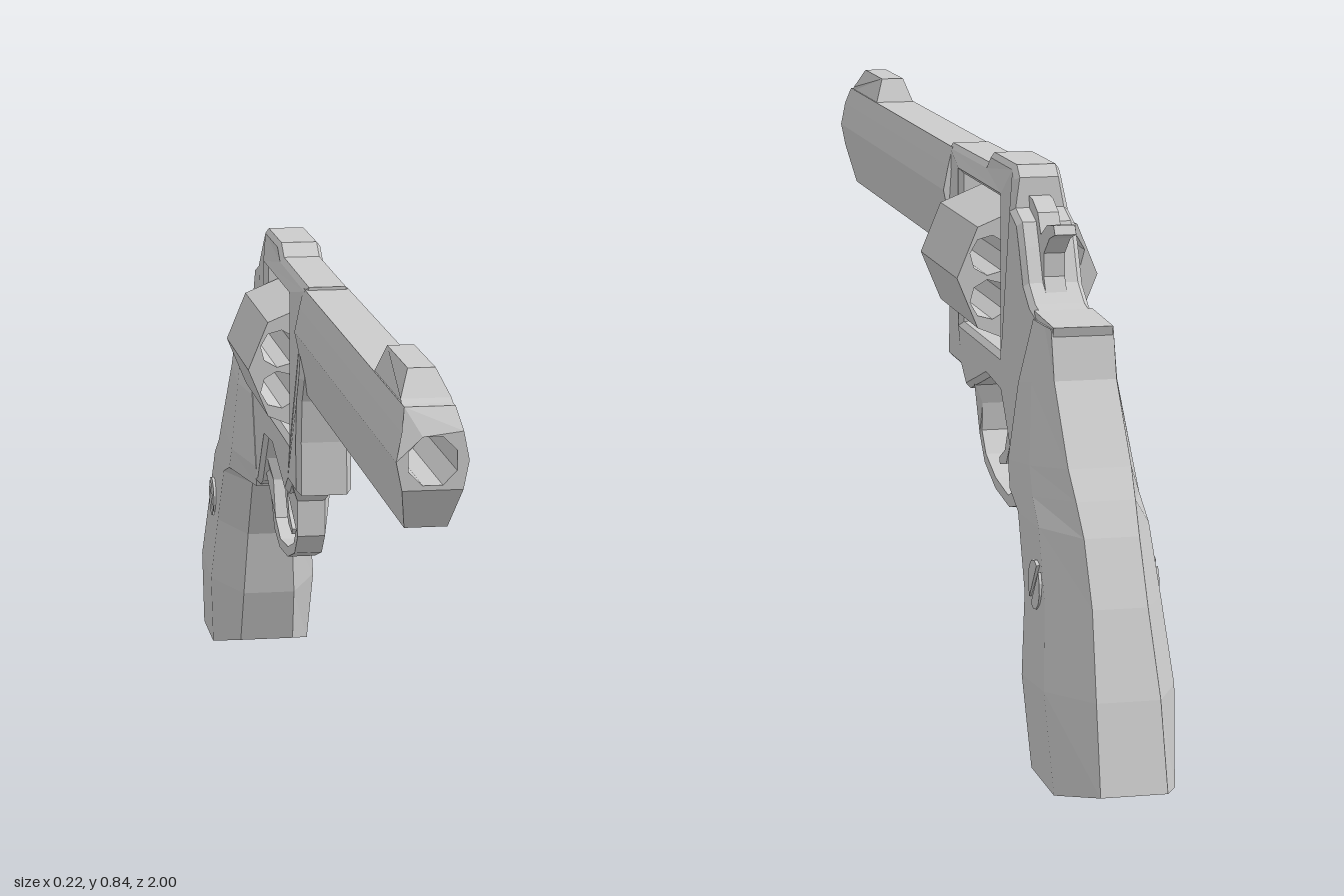
import * as THREE from 'three';

const mat = new THREE.MeshStandardMaterial({ color: 0xcccccc, flatShading: true });

function add(parent, name, geo) {
  const mesh = new THREE.Mesh(geo, mat);
  mesh.name = name;
  parent.add(mesh);
  return mesh;
}

const points = (list) => list.map(([a, b]) => new THREE.Vector2(a, b));

const ring = (cx, cy, r, n, start = 0) => Array.from({ length: n }, (_, i) => {
  const a = start + (i / n) * Math.PI * 2;
  return [cx + r * Math.cos(a), cy + r * Math.sin(a)];
});

function shapeOf(outline, holes = []) {
  const shape = new THREE.Shape(points(outline));
  shape.holes = holes.map((h) => new THREE.Path(points(h)));
  return shape;
}

// Side profile given as [z, y], extruded to a half width across x
function sideSlab(outline, half, { holes = [], bevel = 0 } = {}) {
  const geo = new THREE.ExtrudeGeometry(shapeOf(outline, holes), {
    depth: 2 * (half - bevel), bevelEnabled: bevel > 0, bevelSegments: 1,
    bevelSize: bevel, bevelThickness: bevel, bevelOffset: -bevel,
  });
  return geo.translate(0, 0, bevel - half).rotateY(-Math.PI / 2);
}

function moveVertices(geo, rule) {
  const p = geo.attributes.position, v = new THREE.Vector3();
  for (let i = 0; i < p.count; i++) {
    rule(v.fromBufferAttribute(p, i));
    p.setXYZ(i, v.x, v.y, v.z);
  }
  geo.computeVertexNormals();
  return geo;
}

// Grip lofted from sections: front [z, y], back [z, y], half width, edge half width, sag
function gripGeometry(sections) {
  const pos = [], index = [], n = 8;
  for (const [f, b, half, edge, sag] of sections) {
    const side = [[edge, 0], [half, 0.27], [half, 0.68], [edge, 1]];
    const loop = [...side, ...side.map(([x, t]) => [-x, t]).reverse()];
    for (const [x, t] of loop) {
      const drop = t > 0 && t < 1 ? sag : 0;
      pos.push(x, f[1] + (b[1] - f[1]) * t - drop, f[0] + (b[0] - f[0]) * t);
    }
  }
  const last = (sections.length - 1) * n;
  for (let i = 0; i < last; i += n) {
    for (let j = 0; j < n; j++) {
      const k = (j + 1) % n;
      index.push(i + j, i + n + j, i + n + k, i + j, i + n + k, i + k);
    }
  }
  for (let k = 1; k < n - 1; k++) {
    index.push(0, k, k + 1, last, last + k + 1, last + k);
  }
  const geo = new THREE.BufferGeometry();
  geo.setAttribute('position', new THREE.Float32BufferAttribute(pos, 3));
  geo.setIndex(index);
  geo.computeVertexNormals();
  return geo;
}

export function createModel() {
  const model = new THREE.Group();
  model.name = 'revolver';

  // Barrel with under lug, open bore and a muzzle slanted back below the bore
  const half = [[0.03, 0.632], [0.042, 0.695], [0.05, 0.735], [0.042, 0.775], [0.035, 0.805]];
  const section = [...half, ...half.map(([x, y]) => [-x, y]).reverse()];
  const barrel = new THREE.ExtrudeGeometry(shapeOf(section, [ring(0, 0.735, 0.036, 8, Math.PI / 8)]),
    { depth: 0.95, bevelEnabled: false }).translate(0, 0, 0.05);
  add(model, 'barrel', moveVertices(barrel, (v) => {
    if (v.z > 0.5) v.z -= Math.max(0, 0.695 - v.y) * 0.8 + Math.max(0, v.y - 0.78);
  }));

  // Front sight, narrowing to its top
  const sight = sideSlab([[0.965, 0.8], [0.945, 0.81], [0.91, 0.845], [0.745, 0.845], [0.72, 0.8]], 0.035);
  add(model, 'frontSight', moveVertices(sight, (v) => { if (v.y > 0.83) v.x *= 0.55; }));

  // Frame with the cylinder window, narrowing along the top strap
  const frame = sideSlab([
    [0.07, 0.81], [0.07, 0.66], [0.045, 0.62], [0.035, 0.55], [0.04, 0.463], [-0.06, 0.463],
    [-0.1, 0.435], [-0.13, 0.445], [-0.18, 0.46], [-0.25, 0.482], [-0.35, 0.475], [-0.38, 0.44],
    [-0.43, 0.38], [-0.46, 0.368], [-0.54, 0.37], [-0.64, 0.5], [-0.685, 0.632], [-0.61, 0.632],
    [-0.55, 0.645], [-0.51, 0.67], [-0.485, 0.72], [-0.465, 0.755], [-0.42, 0.77],
    [-0.415, 0.815], [-0.395, 0.832], [-0.24, 0.832], [-0.21, 0.812],
  ], 0.045, { bevel: 0.008, holes: [[[-0.05, 0.535], [-0.05, 0.775], [-0.345, 0.775], [-0.345, 0.535]]] });
  add(model, 'frame', moveVertices(frame, (v) => { if (v.y > 0.79) v.x *= 0.8; }));

  // Eight-sided cylinder with six open chambers
  const chambers = Array.from({ length: 6 }, (_, i) => {
    const a = Math.PI / 6 + (i * Math.PI) / 3;
    return ring(0.068 * Math.cos(a), 0.068 * Math.sin(a), 0.031, 8, a + Math.PI / 8);
  });
  const drum = new THREE.ExtrudeGeometry(shapeOf(ring(0, 0, 0.11, 8), chambers),
    { depth: 0.28, bevelEnabled: false });
  add(model, 'cylinder', drum.translate(0, 0.653, -0.34));

  // Trigger guard, flaring where it meets the frame
  const guard = sideSlab([
    [-0.06, 0.465], [-0.105, 0.42], [-0.103, 0.36], [-0.14, 0.322], [-0.22, 0.296], [-0.32, 0.288],
    [-0.385, 0.305], [-0.43, 0.36], [-0.46, 0.372], [-0.45, 0.45], [-0.385, 0.45], [-0.395, 0.39],
    [-0.37, 0.328], [-0.31, 0.305], [-0.22, 0.314], [-0.15, 0.337], [-0.12, 0.37], [-0.125, 0.415], [-0.14, 0.455],
  ], 0.023);
  add(model, 'triggerGuard', moveVertices(guard, (v) => { if (v.y > 0.44) v.x *= 1.75; }));

  // Curved trigger
  add(model, 'trigger', sideSlab([
    [-0.23, 0.49], [-0.27, 0.44], [-0.275, 0.4], [-0.255, 0.365], [-0.215, 0.345], [-0.22, 0.335],
    [-0.265, 0.345], [-0.295, 0.385], [-0.305, 0.43], [-0.3, 0.49],
  ], 0.016));

  // Hammer body with a raised, curled spur
  add(model, 'hammer', sideSlab([
    [-0.4, 0.79], [-0.44, 0.785], [-0.475, 0.77], [-0.495, 0.74], [-0.535, 0.76], [-0.575, 0.765],
    [-0.585, 0.752], [-0.55, 0.742], [-0.515, 0.715], [-0.515, 0.68], [-0.54, 0.64], [-0.4, 0.64],
  ], 0.016));

  // Grip and the small lip at the top of its back edge
  add(model, 'grip', gripGeometry([
    [[-0.575, 0.628], [-0.688, 0.632], 0.047, 0.046, 0],
    [[-0.5, 0.52], [-0.708, 0.56], 0.064, 0.046, 0],
    [[-0.455, 0.4], [-0.795, 0.45], 0.077, 0.046, 0],
    [[-0.47, 0.362], [-0.83, 0.41], 0.079, 0.043, 0],
    [[-0.545, 0.35], [-0.865, 0.365], 0.081, 0.04, 0],
    [[-0.61, 0.24], [-0.915, 0.275], 0.085, 0.04, 0],
    [[-0.627, 0.125], [-0.965, 0.155], 0.095, 0.046, 0],
    [[-0.66, 0.028], [-1, 0.03], 0.088, 0.048, 0.026],
  ]));
  add(model, 'gripLip', sideSlab([[-0.57, 0.64], [-0.62, 0.6], [-0.685, 0.6], [-0.695, 0.635]], 0.044));

  // Slotted screw on each grip panel, made of two half discs
  for (const side of [1, -1]) {
    const screw = new THREE.Group();
    screw.name = side > 0 ? 'leftScrew' : 'rightScrew';
    for (const flip of [0, Math.PI]) {
      const arc = Array.from({ length: 7 }, (_, i) => {
        const a = 0.17 + (i / 6) * (Math.PI - 0.34);
        return [0.036 * Math.cos(a), 0.036 * Math.sin(a)];
      });
      add(screw, 'screwHalf', sideSlab(arc, 0.006)).rotation.x = flip + 0.9;
    }
    screw.position.set(side * 0.082, 0.277, -0.762);
    model.add(screw);
  }

  return model;
}
